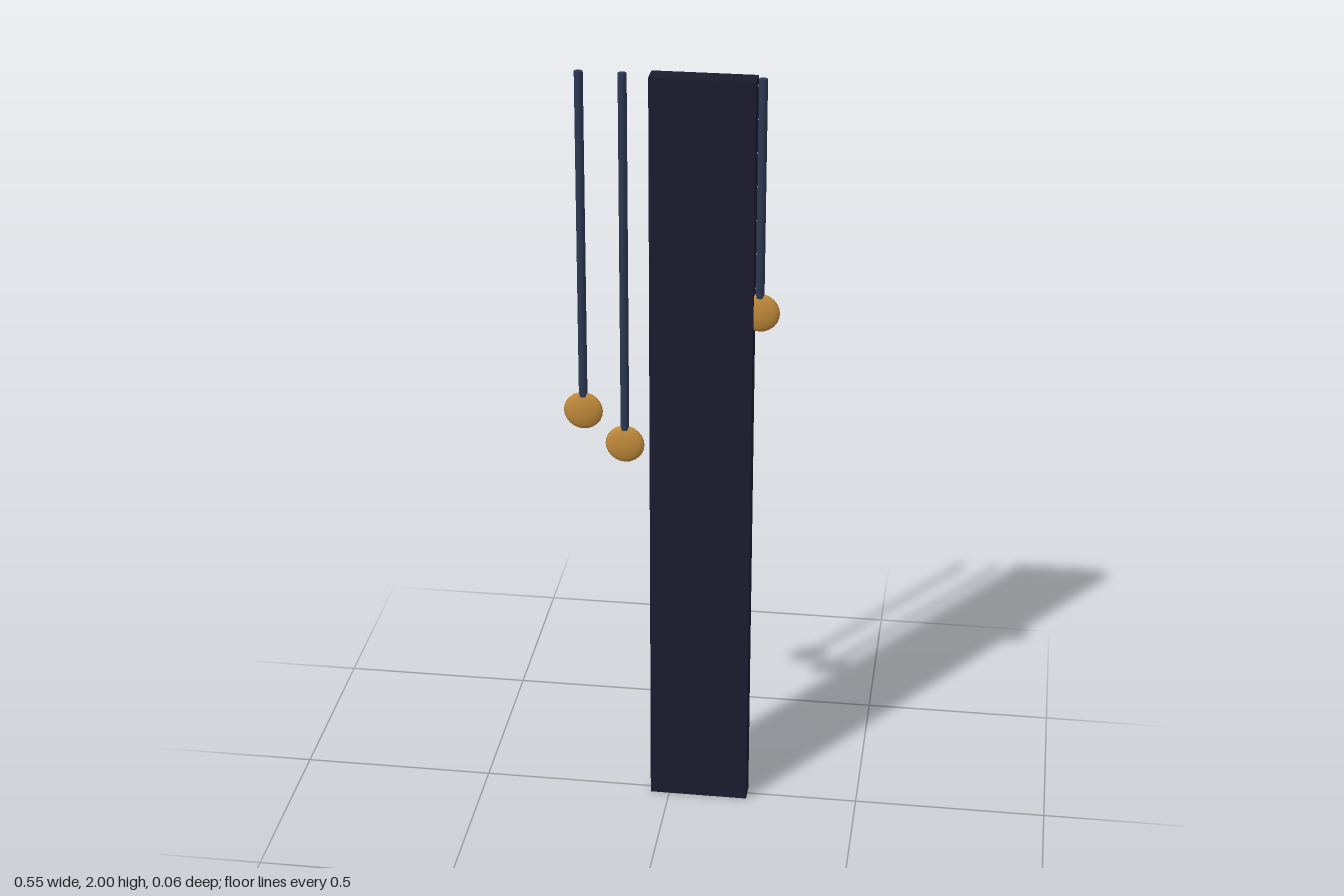
import * as THREE from 'three';

export function createModel() {
  const model = new THREE.Group();
  const material = (name, color) => {
    const m = new THREE.MeshStandardMaterial({ color });
    m.name = name;
    return m;
  };
  const navy = material('dark navy', 0x1c1b30);
  const slate = material('slate blue', 0x2c3852);
  const gold = material('gold', 0xc08a3a);

  const add = (parent, name, geometry, mat, x, y) => {
    const mesh = new THREE.Mesh(geometry, mat);
    mesh.name = name;
    mesh.position.set(x, y, 0);
    parent.add(mesh);
  };

  // Tall flat panel
  add(model, 'panel', new THREE.BoxGeometry(0.258, 2, 0.056), navy, 0.079, 1);

  // Hanging rods, each ending in a flattened bob
  const bob = new THREE.SphereGeometry(0.05, 16, 12).scale(1, 1, 0.3);
  const pendulums = [[-0.223, 1.107], [-0.117, 1.02], [0.222, 1.4]];
  pendulums.forEach(([x, y], i) => {
    const pendulum = new THREE.Group();
    pendulum.name = `pendulum${i + 1}`;
    const bottom = y + 0.04;
    const rod = new THREE.CylinderGeometry(0.011, 0.011, 2 - bottom, 8);
    add(pendulum, 'rod', rod, slate, x, (2 + bottom) / 2);
    add(pendulum, 'bob', bob, gold, x, y);
    model.add(pendulum);
  });

  return model;
}
